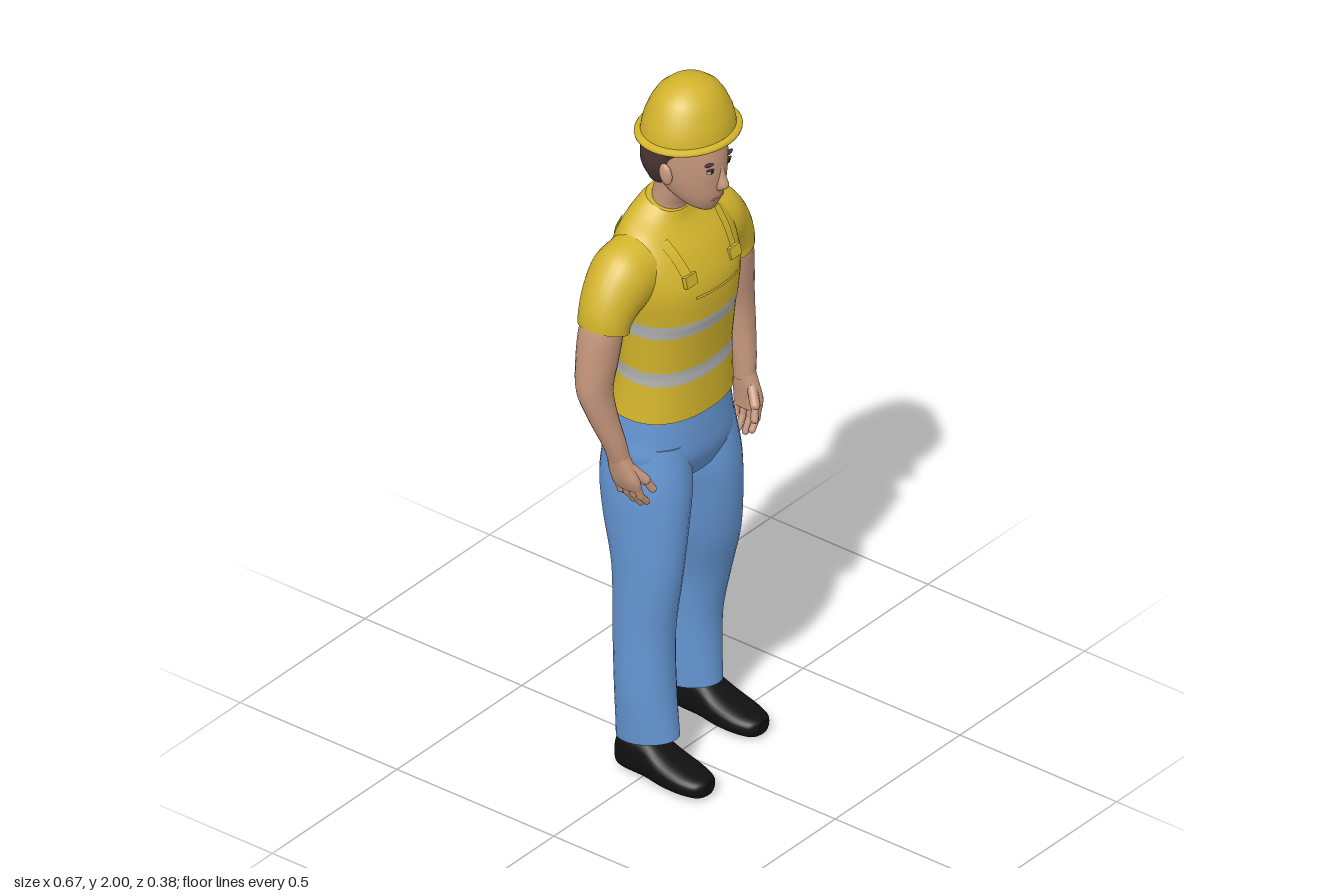
import * as THREE from 'three';

const mat = (name, color, side = THREE.FrontSide) => {
  const m = new THREE.MeshStandardMaterial({ color, side });
  m.name = name;
  return m;
};

// Section: [x, y, z, half width, half depth, roll, pitch]; blends smoothly between sections
function sectionAt(secs, u) {
  const n = secs.length - 1, i = Math.min(Math.floor(u), n - 1), t = u - i;
  const at = (k, c) => secs[Math.max(0, Math.min(n, k))][c] || 0;
  return [0, 1, 2, 3, 4, 5, 6].map(c => {
    const b = at(i, c), d = at(i + 1, c);
    const m0 = (d - at(i - 1, c)) / 2, m1 = (at(i + 2, c) - b) / 2;
    const t2 = t * t, t3 = t2 * t;
    return (2 * t3 - 3 * t2 + 1) * b + (t3 - 2 * t2 + t) * m0 + (3 * t2 - 2 * t3) * d + (t3 - t2) * m1;
  });
}

// Closed loft through sections listed from top to bottom; spans gives a material index per span
function loft(secs, { seg = 28, sub = 5, e = 2, spans = null } = {}) {
  const pos = [], idx = [], g = new THREE.BufferGeometry();
  const rows = (secs.length - 1) * sub;
  const pow = v => Math.sign(v) * Math.pow(Math.abs(v), 2 / e);
  const ring = s => {
    for (let j = 0; j < seg; j++) {
      const a = j / seg * Math.PI * 2, lx = s[3] * pow(Math.cos(a)), lz = s[4] * pow(Math.sin(a));
      pos.push(s[0] + lx * Math.cos(s[5]), s[1] + lx * Math.sin(s[5]) + lz * s[6], s[2] + lz);
    }
  };
  for (let i = 0; i <= rows; i++) ring(sectionAt(secs, i / sub));
  for (let i = 0; i < rows; i++) {
    const start = idx.length;
    for (let j = 0; j < seg; j++) {
      const a = i * seg + j, b = i * seg + (j + 1) % seg;
      idx.push(a, b, a + seg, b, b + seg, a + seg);
    }
    if (spans) g.addGroup(start, idx.length - start, spans[Math.floor(i / sub)]);
  }
  const start = idx.length;
  [secs[0], secs[secs.length - 1]].forEach((s, k) => {
    const base = pos.length / 3;
    ring(sectionAt(secs, k ? secs.length - 1 : 0));
    pos.push(s[0], s[1], s[2]);
    for (let j = 0; j < seg; j++) {
      const a = base + j, b = base + (j + 1) % seg;
      idx.push(base + seg, k ? a : b, k ? b : a);
    }
  });
  if (spans) g.addGroup(start, idx.length - start, 0);
  g.setAttribute('position', new THREE.Float32BufferAttribute(pos, 3));
  g.setIndex(idx);
  g.computeVertexNormals();
  return g;
}

const TORSO = [
  [0.007, 1.637, -0.032, 0.068, 0.052, 0, -0.35], [0.007, 1.615, -0.036, 0.1, 0.064, 0, -0.3],
  [0.007, 1.578, -0.038, 0.155, 0.084, 0, -0.1], [0.007, 1.52, -0.03, 0.185, 0.114],
  [0.007, 1.44, -0.02, 0.187, 0.139], [0.007, 1.35, -0.018, 0.174, 0.138],
  [0.007, 1.31, -0.018, 0.17, 0.131], [0.008, 1.205, -0.018, 0.165, 0.118],
  [0.008, 1.165, -0.018, 0.165, 0.118], [0.005, 1.06, -0.027, 0.176, 0.129]];
const TORSO_E = 2.3;

// Point on the shirt at (x, y), on the front (dir 1) or back (dir -1)
function onShirt(x, y, dir, lift) {
  let lo = 0, hi = TORSO.length - 1;
  for (let k = 0; k < 30; k++) {
    const m = (lo + hi) / 2;
    if (sectionAt(TORSO, m)[1] > y) lo = m; else hi = m;
  }
  const s = sectionAt(TORSO, lo), r = Math.min(1, Math.abs((x - s[0]) / s[3]));
  const lz = dir * s[4] * Math.pow(1 - Math.pow(r, TORSO_E), 1 / TORSO_E);
  return [x, y + lz * s[6], s[2] + lz + dir * lift];
}

// Thin ribbon lying on the shirt from (x0, y0) to (x1, y1)
function ribbon(x0, y0, x1, y1, width, dir) {
  const n = 12, pos = [], idx = [], len = Math.hypot(x1 - x0, y1 - y0);
  const px = -(y1 - y0) / len * width / 2, py = (x1 - x0) / len * width / 2;
  for (let i = 0; i <= n; i++) {
    const x = x0 + (x1 - x0) * i / n, y = y0 + (y1 - y0) * i / n;
    pos.push(...onShirt(x + px, y + py, dir, 0.005), ...onShirt(x - px, y - py, dir, 0.005));
    if (i < n) {
      const a = i * 2;
      if (dir > 0) idx.push(a, a + 1, a + 2, a + 1, a + 3, a + 2);
      else idx.push(a, a + 2, a + 1, a + 1, a + 2, a + 3);
    }
  }
  const g = new THREE.BufferGeometry();
  g.setAttribute('position', new THREE.Float32BufferAttribute(pos, 3));
  g.setIndex(idx);
  g.computeVertexNormals();
  return g;
}

export function createModel() {
  const yellow = mat('workwear yellow', 0xd3b42c), strapYellow = mat('strap yellow', 0xd3b42c, THREE.DoubleSide);
  const grey = mat('reflective grey', 0xb2b2b0), blue = mat('denim blue', 0x6596d3);
  const skin = mat('skin', 0xc4967c), hair = mat('hair brown', 0x4c3733), black = mat('shoe black', 0x101010);
  const white = mat('eye white', 0xcfc4bc), lip = mat('lip', 0xa06c5c);
  const model = new THREE.Group();
  const add = (name, geo, material, parent = model) => {
    const m = new THREE.Mesh(geo, material);
    m.name = name;
    parent.add(m);
    return m;
  };
  const ball = (name, x, y, z, sx, sy, sz, material) => {
    const m = add(name, new THREE.SphereGeometry(1, 16, 12), material);
    m.position.set(x, y, z);
    m.scale.set(sx, sy, sz);
    return m;
  };

  // Shirt with two reflective bands
  add('shirt', loft(TORSO, { seg: 40, e: TORSO_E, spans: [0, 0, 0, 0, 0, 1, 0, 1, 0] }), [yellow, grey]);

  // Bib, straps and buckles
  add('bibEdge', ribbon(-0.075, 1.425, 0.09, 1.425, 0.008, 1), strapYellow);
  for (const s of [-1, 1]) {
    const cx = 0.007;
    add('frontStrap', ribbon(cx + s * 0.108, 1.58, cx + s * 0.088, 1.46, 0.028, 1), strapYellow);
    add('backStrap', ribbon(cx + s * 0.1, 1.585, cx + s * 0.03, 1.4, 0.032, -1), strapYellow);
    const buckle = add('buckle', new THREE.BoxGeometry(0.042, 0.03, 0.012), yellow);
    buckle.position.set(...onShirt(cx + s * 0.088, 1.475, 1, 0.005));
    buckle.rotation.x = -0.25;
  }
  add('backPanelEdge', ribbon(-0.045, 1.4, 0.06, 1.4, 0.01, -1), strapYellow);

  // Trousers: hips and two legs in a slight stride
  add('hips', loft([[0.005, 1.075, -0.03, 0.169, 0.123], [0.007, 1.0, -0.034, 0.18, 0.133],
    [0.01, 0.93, -0.033, 0.188, 0.131], [0.01, 0.865, -0.03, 0.13, 0.1]], { seg: 36, e: 2.2 }), blue);
  add('rightTrouserLeg', loft([[-0.085, 0.98, -0.032, 0.085, 0.115], [-0.092, 0.86, -0.03, 0.098, 0.128],
    [-0.102, 0.75, -0.022, 0.089, 0.121], [-0.112, 0.6, -0.01, 0.074, 0.1], [-0.112, 0.42, -0.02, 0.071, 0.085],
    [-0.11, 0.25, -0.018, 0.072, 0.083], [-0.107, 0.105, -0.012, 0.063, 0.09, 0, 0.18]]), blue);
  add('leftTrouserLeg', loft([[0.1, 0.98, -0.035, 0.083, 0.115], [0.109, 0.86, -0.035, 0.1, 0.128],
    [0.123, 0.75, -0.03, 0.093, 0.119], [0.145, 0.6, -0.034, 0.086, 0.099], [0.168, 0.45, -0.068, 0.073, 0.087],
    [0.175, 0.3, -0.095, 0.07, 0.081], [0.178, 0.1, -0.1, 0.063, 0.088, 0, 0.15]]), blue);

  // Shoes, lofted from toe to heel, then laid flat
  const shoeGeo = loft([[0, 0.14, -0.026, 0.022, 0.018], [0, 0.125, -0.027, 0.042, 0.025],
    [0, 0.08, -0.032, 0.056, 0.031], [0, 0.02, -0.042, 0.058, 0.041], [0, -0.04, -0.058, 0.05, 0.057],
    [0, -0.1, -0.06, 0.047, 0.059], [0, -0.13, -0.052, 0.037, 0.048], [0, -0.14, -0.05, 0.022, 0.035]], { e: 2.7 });
  shoeGeo.rotateX(Math.PI / 2);
  add('rightShoe', shoeGeo, black).position.set(-0.118, 0, 0.05);
  add('leftShoe', shoeGeo, black).position.set(0.19, 0, -0.022);

  // Sleeves, arms and hands; the right forearm hangs further in and forward
  for (const s of [1, -1]) {
    const side = s > 0 ? 'left' : 'right';
    const place = ([x, y, z, ...rest]) => {
      const k = s < 0 ? Math.max(0, 1.2 - y) : 0;
      return [s * (x - 0.15 * k), y + 0.06 * k, z + 0.06 * k, ...rest];
    };
    const sleeve = [[0.13, 1.49, -0.035, 0.095, 0.085, 1.42], [0.185, 1.475, -0.037, 0.094, 0.085, 1.22],
      [0.222, 1.438, -0.039, 0.083, 0.077, 0.92], [0.246, 1.395, -0.039, 0.069, 0.07, 0.5],
      [0.251, 1.366, -0.039, 0.064, 0.068, 0.3]];
    add(side + 'Sleeve', loft(sleeve.map(([x, y, z, w, d, r]) => [s * x, y, z, w, d, s * r])), yellow);
    add(side + 'Arm', loft([[0.247, 1.42, -0.037, 0.053, 0.055], [0.26, 1.36, -0.04, 0.057, 0.058],
      [0.272, 1.28, -0.043, 0.056, 0.054], [0.283, 1.2, -0.042, 0.051, 0.045], [0.286, 1.12, -0.03, 0.042, 0.037],
      [0.28, 1.03, -0.013, 0.032, 0.031], [0.276, 0.975, -0.01, 0.026, 0.031]].map(place), { seg: 20 }), skin);
    add(side + 'Palm', loft([[0.277, 0.995, -0.01, 0.024, 0.028], [0.277, 0.96, -0.005, 0.023, 0.037],
      [0.278, 0.92, 0.002, 0.02, 0.044], [0.275, 0.888, 0.002, 0.015, 0.042]].map(place), { seg: 18, e: 2.4 }), skin);
    const digit = (name, a, b, r) => {
      const p = new THREE.Vector3(...place(a)), q = new THREE.Vector3(...place(b)), d = q.clone().sub(p);
      const m = add(name, new THREE.CapsuleGeometry(r, d.length(), 5, 10), skin);
      m.position.copy(p).add(q).multiplyScalar(0.5);
      m.quaternion.setFromUnitVectors(new THREE.Vector3(0, 1, 0), d.normalize());
    };
    for (let f = 0; f < 4; f++) {
      const z = 0.034 - f * 0.021, tip = [0.842, 0.83, 0.834, 0.85][f];
      digit(side + 'FingerBase', [0.276, 0.9, z], [0.27, 0.868, z], 0.0105);
      digit(side + 'FingerTip', [0.27, 0.868, z], [0.252, tip, z], 0.0092);
    }
    digit(side + 'ThumbBase', [0.27, 0.955, 0.02], [0.252, 0.918, 0.044], 0.0135);
    digit(side + 'ThumbTip', [0.252, 0.918, 0.044], [0.24, 0.885, 0.052], 0.0105);
  }

  // Neck and head
  const hx = 0.008;
  add('neck', loft([[hx, 1.74, 0.0, 0.057, 0.06], [hx, 1.68, -0.013, 0.055, 0.056],
    [hx, 1.63, -0.03, 0.058, 0.048], [hx, 1.57, -0.038, 0.07, 0.05]]), skin);
  add('head', loft([[hx, 1.87, 0.025, 0.075, 0.1], [hx, 1.83, 0.026, 0.081, 0.107], [hx, 1.78, 0.027, 0.081, 0.108],
    [hx, 1.73, 0.031, 0.075, 0.1], [hx, 1.69, 0.044, 0.062, 0.081], [hx, 1.662, 0.065, 0.044, 0.048],
    [hx, 1.647, 0.08, 0.024, 0.024]], { seg: 32 }), skin);
  add('nose', loft([[hx, 1.79, 0.126, 0.007, 0.008], [hx, 1.755, 0.131, 0.01, 0.012],
    [hx, 1.728, 0.132, 0.016, 0.02], [hx, 1.714, 0.126, 0.013, 0.012]], { seg: 14 }), skin);
  add('hair', loft([[hx, 1.872, 0.025, 0.085, 0.11], [hx, 1.848, 0.026, 0.091, 0.116], [hx, 1.83, 0.012, 0.092, 0.112],
    [hx, 1.8, -0.01, 0.091, 0.093], [hx, 1.75, -0.026, 0.084, 0.077], [hx, 1.7, -0.036, 0.058, 0.045]],
    { seg: 32 }), hair);
  ball('mouth', hx, 1.687, 0.118, 0.024, 0.006, 0.007, lip);
  for (const s of [-1, 1]) {
    ball('ear', hx + s * 0.087, 1.757, 0.022, 0.011, 0.03, 0.019, skin).rotation.x = -0.2;
    ball('eye', hx + s * 0.033, 1.778, 0.1225, 0.014, 0.006, 0.006, white);
    ball('iris', hx + s * 0.033, 1.778, 0.126, 0.006, 0.006, 0.004, black);
    ball('upperLid', hx + s * 0.033, 1.784, 0.1235, 0.016, 0.0025, 0.006, hair);
    ball('eyebrow', hx + s * 0.035, 1.799, 0.1225, 0.02, 0.0045, 0.007, hair).rotation.z = s * 0.12;
  }

  // Hard hat: domed shell on a narrow brim
  const hat = new THREE.Group();
  hat.name = 'hardHat';
  hat.position.set(0.01, 0, 0.0235);
  hat.scale.z = 0.88;
  model.add(hat);
  const lathe = pts => new THREE.LatheGeometry(pts.map(p => new THREE.Vector2(...p)), 40);
  add('dome', lathe([[0.131, 1.858], [0.128, 1.878], [0.121, 1.905], [0.105, 1.94], [0.087, 1.966], [0.06, 1.987],
    [0.03, 1.997], [0, 2]]), yellow, hat);
  add('brim', lathe([[0, 1.853], [0.14, 1.849], [0.146, 1.851], [0.147, 1.856], [0.143, 1.861], [0.126, 1.865]]),
    yellow, hat);
  return model;
}
